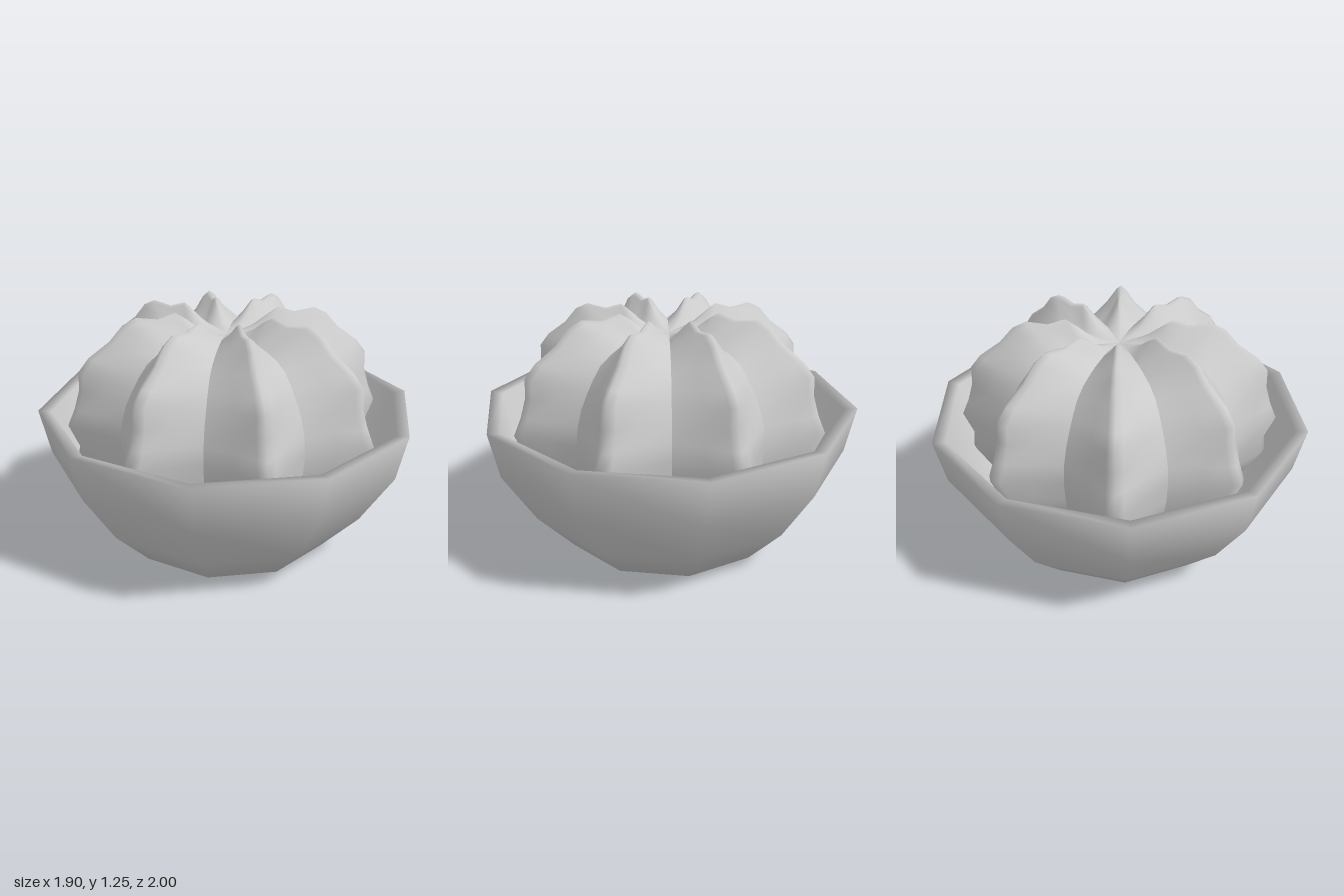
import * as THREE from 'three';
import { mergeVertices } from 'three/addons/utils/BufferGeometryUtils.js';

const LOBES = 8;

// Ridge and valley outlines of the plant as [radius, height], crown to base
const ridge = [[0, 1.12], [0.1, 1.14], [0.16, 1.17], [0.21, 1.21], [0.27, 1.25], [0.36, 1.22],
  [0.47, 1.235], [0.54, 1.2], [0.61, 1.12], [0.72, 1.04], [0.775, 0.97], [0.78, 0.87],
  [0.81, 0.77], [0.85, 0.68], [0.8, 0.56], [0.81, 0.47], [0.72, 0.34], [0.56, 0.2], [0.3, 0.12], [0, 0.1]];
const valley = [[0, 1.12], [0.08, 1.13], [0.13, 1.135], [0.17, 1.135], [0.21, 1.13], [0.27, 1.125],
  [0.34, 1.11], [0.41, 1.09], [0.48, 1.05], [0.53, 0.99], [0.57, 0.93], [0.61, 0.86],
  [0.64, 0.77], [0.65, 0.68], [0.64, 0.57], [0.62, 0.47], [0.56, 0.35], [0.45, 0.23], [0.25, 0.14], [0, 0.1]];

// Across one lobe: [sideways share of the valley, blend towards the ridge]
const across = [[-1, 0], [-0.5, 0.48], [-0.17, 0.9], [0, 1], [0.17, 0.9], [0.5, 0.48], [1, 0]];

// One lobe facing +z; its edges stay unwelded so the valleys are sharp
function lobeGeometry() {
  const half = Math.PI / LOBES;
  const positions = [];
  const index = [];
  const cols = across.length;
  ridge.forEach(([rr, ry], i) => {
    const [vr, vy] = valley[i];
    for (const [side, blend] of across) {
      positions.push(
        side * vr * Math.sin(half),
        THREE.MathUtils.lerp(vy, ry, blend),
        THREE.MathUtils.lerp(vr * Math.cos(half), rr, blend)
      );
    }
    if (i === ridge.length - 1) return;
    for (let j = 0; j < cols - 1; j++) {
      const a = i * cols + j, b = a + 1, c = a + cols, d = c + 1;
      if (i > 0) index.push(a, c, b);
      else index.push(a, c, d);
      if (i > 0 && i < ridge.length - 2) index.push(b, c, d);
    }
  });
  let geometry = new THREE.BufferGeometry();
  geometry.setAttribute('position', new THREE.Float32BufferAttribute(positions, 3));
  geometry.setIndex(index);
  geometry = mergeVertices(geometry);
  geometry.computeVertexNormals();
  return geometry;
}

export function createModel() {
  const group = new THREE.Group();
  const material = new THREE.MeshStandardMaterial({ color: 0xcccccc });

  // Ten-sided bowl: outer wall, rim, then inner wall and floor
  const profile = [[0, 0], [0.58, 0], [0.78, 0.22], [0.95, 0.5], [1, 0.745],
    [0.935, 0.735], [0.885, 0.5], [0.71, 0.25], [0.54, 0.05], [0, 0.05]]
    .map(([r, y]) => new THREE.Vector2(r, y));
  const bowl = new THREE.Mesh(new THREE.LatheGeometry(profile, 10), material);
  bowl.name = 'bowl';
  group.add(bowl);

  // Ribbed round plant sitting in the bowl
  const plant = new THREE.Group();
  plant.name = 'plant';
  const lobe = lobeGeometry();
  for (let k = 0; k < LOBES; k++) {
    const mesh = new THREE.Mesh(lobe, material);
    mesh.name = 'plantLobe';
    mesh.rotation.y = ((k + 0.5) / LOBES) * Math.PI * 2;
    plant.add(mesh);
  }
  group.add(plant);
  return group;
}
